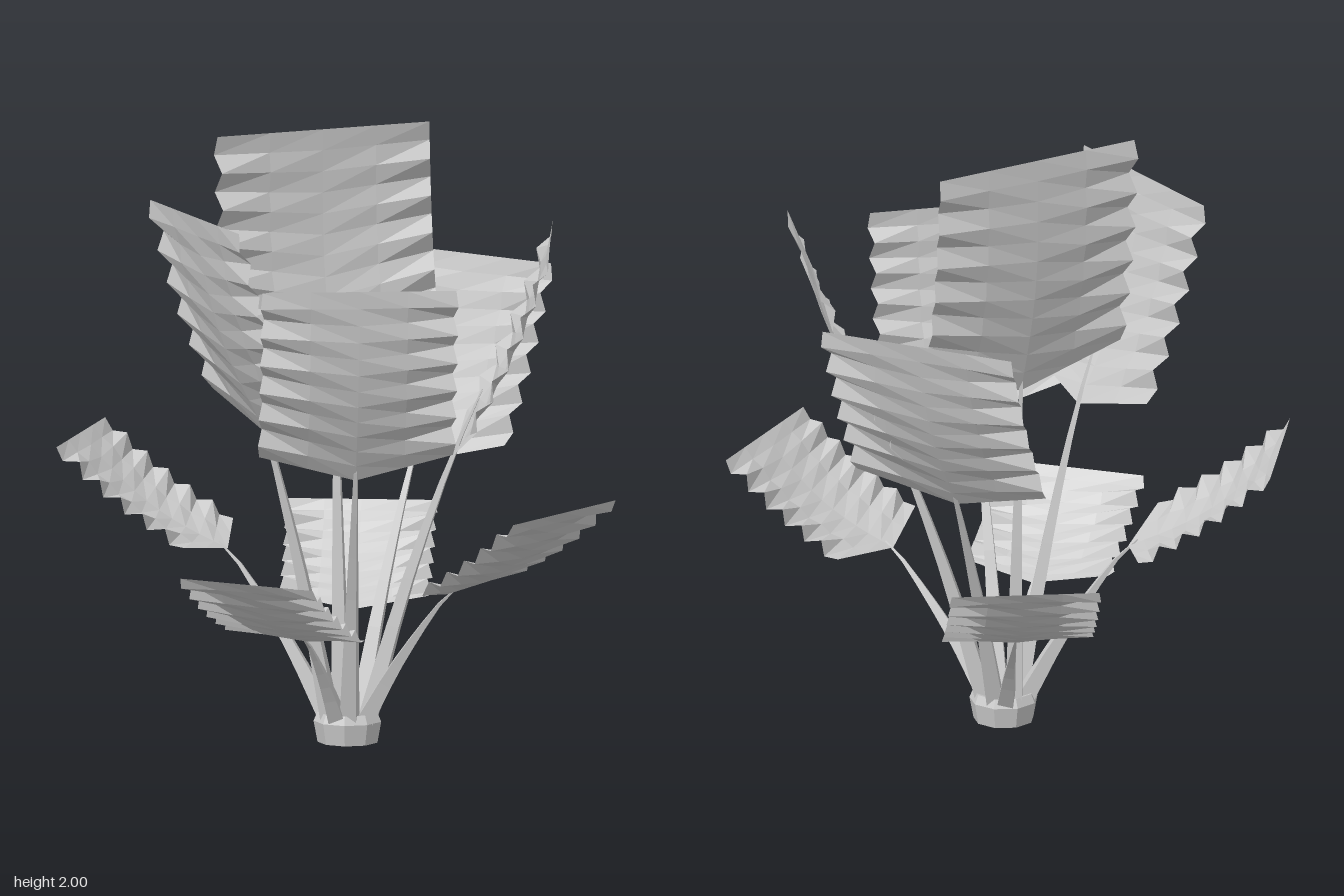
import * as THREE from 'three';

const CENTER = new THREE.Vector3(0.02, 0, -0.015);

// angle (degrees from +x towards +z), tip [x, y, z], base height,
// run (horizontal length), width, rib (share of the leaf the stem overlaps)
const LEAVES = [
  { angle: -78.5, tip: [0.055, 2.0, -0.21], baseY: 1.17, run: 0.1, width: 0.75, rib: 0.25 },
  { angle: 189.5, tip: [-0.517, 1.78, -0.115], baseY: 1.04, run: 0.26, width: 0.7, rib: 0.3 },
  { angle: 120, tip: [-0.255, 1.59, 0.46], baseY: 0.93, run: 0.19, width: 0.635, rib: 0.27 },
  { angle: 35, tip: [0.567, 1.68, 0.36], baseY: 0.95, run: 0.32, width: 0.7, rib: 0.3 },
  { angle: -21.5, tip: [0.655, 1.52, -0.27], baseY: 0.87, run: 0.31, width: 0.68, rib: 0.3 },
  { angle: -130, tip: [-0.56, 0.98, -0.717], baseY: 0.62, run: 0.5, width: 0.58, rib: 0.06 },
  { angle: -51.7, tip: [0.445, 0.68, -0.565], baseY: 0.38, run: 0.37, width: 0.485, rib: 0.06 },
  { angle: 70, tip: [0.322, 0.85, 0.802], baseY: 0.53, run: 0.47, width: 0.57, rib: 0.06 },
  { angle: 152, tip: [-0.6, 0.63, 0.31], baseY: 0.375, run: 0.42, width: 0.49, rib: 0.06 },
];

// Directions and end points of one leaf
function leafFrame(leaf) {
  const a = THREE.MathUtils.degToRad(leaf.angle);
  const out = new THREE.Vector3(Math.cos(a), 0, Math.sin(a));
  const across = new THREE.Vector3(-out.z, 0, out.x);
  const tip = new THREE.Vector3(...leaf.tip);
  const base = tip.clone().addScaledVector(out, -leaf.run).setY(leaf.baseY);
  const along = tip.clone().sub(base).normalize();
  const under = new THREE.Vector3().crossVectors(along, across).normalize();
  if (under.dot(out) < 0) under.negate();
  return { out, across, tip, base, under };
}

// Broad blade: pointed base, square tip, shallow cup and rippled side edges
function bladeGeometry(leaf, frame) {
  const rows = 12;
  const geometry = new THREE.PlaneGeometry(2, 1, 4, rows);
  const pos = geometry.attributes.position;
  const p = new THREE.Vector3();
  for (let i = 0; i < pos.count; i++) {
    const u = pos.getX(i);
    const v = pos.getY(i) + 0.5;
    const row = Math.round(v * rows);
    const t = THREE.MathUtils.lerp(0.13 * Math.abs(u), 1, v);
    const edge = u * u;
    const inner = row === 0 || row === rows ? 0 : 1;
    const ripple = inner * edge * (row % 2 ? 0.017 : -0.017);
    const cup = 0.045 * Math.sin(Math.PI * v) * (1 - 0.6 * edge);
    p.lerpVectors(frame.base, frame.tip, t)
      .addScaledVector(frame.across, u * (leaf.width / 2 + ripple * 0.4))
      .addScaledVector(frame.under, cup + ripple);
    pos.setXYZ(i, p.x, p.y, p.z);
  }
  return geometry;
}

// Tapered, faceted stalk that runs a little way up the blade
function stemGeometry(leaf, frame) {
  const root = CENTER.clone().addScaledVector(frame.out, 0.06).setY(0.06);
  const end = frame.base.clone().lerp(frame.tip, leaf.rib);
  const mid = root.clone().lerp(frame.base, 0.42);
  mid.y += 0.05 * frame.base.y;
  const path = new THREE.CatmullRomCurve3([root, mid, frame.base, end]);
  const segments = 7, sides = 4;
  const geometry = new THREE.TubeGeometry(path, segments, 1, sides, false);
  const pos = geometry.attributes.position;
  const p = new THREE.Vector3();
  for (let i = 0; i < pos.count; i++) {
    const t = Math.floor(i / (sides + 1)) / segments;
    const c = path.getPointAt(t);
    const radius = THREE.MathUtils.lerp(0.04, 0.003, t);
    p.fromBufferAttribute(pos, i).sub(c).multiplyScalar(radius).add(c);
    pos.setXYZ(i, p.x, p.y, p.z);
  }
  return geometry;
}

export function createModel() {
  const group = new THREE.Group();
  const grey = new THREE.MeshStandardMaterial({
    name: 'lightGrey', color: 0xcccccc, flatShading: true, side: THREE.DoubleSide,
  });
  const add = (geometry, name, parent) => {
    const mesh = new THREE.Mesh(geometry, grey);
    mesh.name = name;
    parent.add(mesh);
    return mesh;
  };

  // Open collar holding the stems
  const profile = [[0.07, 0.09], [0.07, 0], [0.1, 0], [0.113, 0.07], [0.1, 0.1], [0.07, 0.09]];
  const collar = add(
    new THREE.LatheGeometry(profile.map(([r, y]) => new THREE.Vector2(r, y)), 9),
    'collar', group);
  collar.position.copy(CENTER);

  // Nine stalked leaves
  LEAVES.forEach((leaf, i) => {
    const part = new THREE.Group();
    part.name = `leaf${i + 1}`;
    const frame = leafFrame(leaf);
    add(bladeGeometry(leaf, frame), 'blade', part);
    add(stemGeometry(leaf, frame), 'stem', part);
    group.add(part);
  });
  return group;
}
